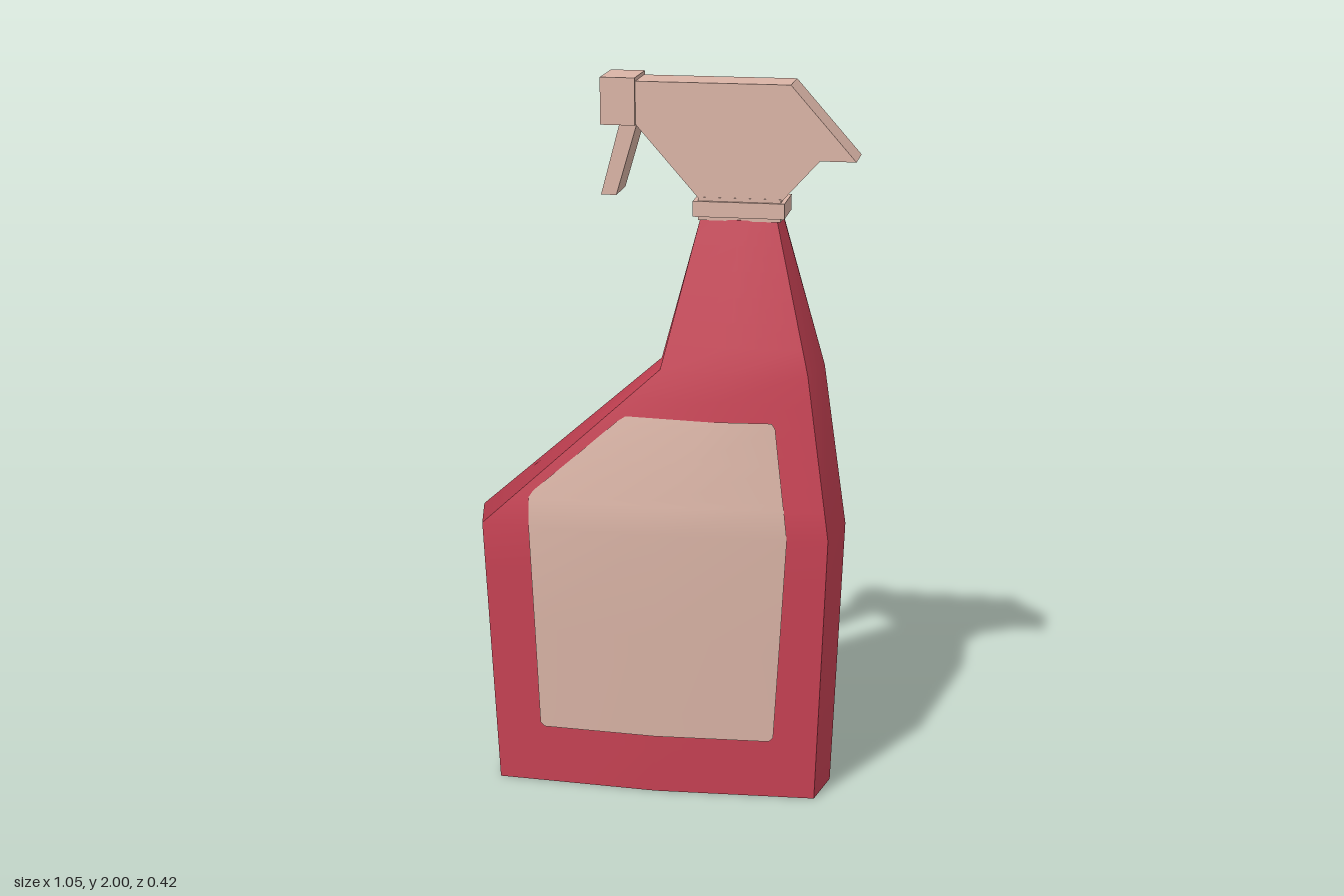
import * as THREE from 'three';

const red = new THREE.MeshStandardMaterial({ color: 0xc84254 });
red.name = 'bottleRed';
const tan = new THREE.MeshStandardMaterial({ color: 0xdab4a6 });
tan.name = 'plasticTan';

// Bottle levels: height, side tips, corner x, mid x, corner z, mid z
const LEVELS = [
  { y: 0, xl: -0.475, xr: 0.475, cl: -0.455, cr: 0.447, xm: 0, zc: 0.145, zm: 0.17 },
  { y: 0.77, xl: -0.525, xr: 0.505, cl: -0.487, cr: 0.477, xm: 0, zc: 0.175, zm: 0.205 },
  { y: 1.22, xl: -0.012, xr: 0.44, cl: 0.007, cr: 0.41, xm: 0.2, zc: 0.134, zm: 0.156 },
  { y: 1.625, xl: 0.1, xr: 0.322, cl: 0.104, cr: 0.312, xm: 0.208, zc: 0.06, zm: 0.068 },
];

// Cross-section at any height
function section(y) {
  let i = 0;
  while (i < LEVELS.length - 2 && y > LEVELS[i + 1].y) i++;
  const a = LEVELS[i], b = LEVELS[i + 1], t = (y - a.y) / (b.y - a.y);
  const s = {};
  for (const k in a) s[k] = a[k] + (b[k] - a[k]) * t;
  return s;
}

// Depth of the front wall at a point
function wallZ(x, s) {
  const edge = x < s.xm ? s.cl : s.cr;
  return s.zm + (s.zc - s.zm) * (x - s.xm) / (edge - s.xm);
}

// Smooth sheet through rows of points, bottom to top
function sheet(rows) {
  const pos = [], index = [], n = rows[0].length;
  rows.forEach((r) => r.forEach((p) => pos.push(...p)));
  for (let j = 0; j < rows.length - 1; j++) {
    for (let i = 0; i < n - 1; i++) {
      const a = j * n + i, d = a + n;
      index.push(a, a + 1, d + 1, a, d + 1, d);
    }
  }
  const g = new THREE.BufferGeometry();
  g.setAttribute('position', new THREE.Float32BufferAttribute(pos, 3));
  g.setIndex(index);
  g.computeVertexNormals();
  return g;
}

// The same row turned to the back
const toBack = (row) => row.map(([x, y, z]) => [x, y, -z]).reverse();

function add(group, name, geometry, material) {
  const m = new THREE.Mesh(geometry, material);
  m.name = name;
  group.add(m);
  return m;
}

function box(group, name, x0, x1, y0, y1, halfZ) {
  const m = add(group, name, new THREE.BoxGeometry(x1 - x0, y1 - y0, halfZ * 2), tan);
  m.position.set((x0 + x1) / 2, (y0 + y1) / 2, 0);
}

// Side profile extruded across the depth
function slab(group, name, points, halfZ) {
  const shape = new THREE.Shape(points.map(([x, y]) => new THREE.Vector2(x, y)));
  const g = new THREE.ExtrudeGeometry(shape, { depth: halfZ * 2, bevelEnabled: false });
  add(group, name, g.translate(0, 0, -halfZ), tan);
}

export function createModel() {
  const model = new THREE.Group();
  model.name = 'sprayBottle';

  // Bottle walls, with sharp edges only at the corners
  const bottle = new THREE.Group();
  bottle.name = 'bottle';
  model.add(bottle);
  const heights = [];
  for (let i = 0; i < 3; i++) {
    for (let k = 0; k < 6; k++) {
      heights.push(LEVELS[i].y + (LEVELS[i + 1].y - LEVELS[i].y) * k / 6);
    }
  }
  heights.push(LEVELS[3].y);
  const front = heights.map(section).map((s) => [
    [s.cl, s.y, s.zc], [s.xm, s.y, s.zm], [s.cr, s.y, s.zc],
  ]);
  add(bottle, 'frontWall', sheet(front), red);
  add(bottle, 'backWall', sheet(front.map(toBack)), red);
  add(bottle, 'leftWall', sheet(LEVELS.map((s) => [
    [s.cr, s.y, s.zc], [s.xr, s.y, 0], [s.cr, s.y, -s.zc],
  ])), red);
  add(bottle, 'rightWall', sheet(LEVELS.map((s) => [
    [s.cl, s.y, -s.zc], [s.xl, s.y, 0], [s.cl, s.y, s.zc],
  ])), red);

  // Base and top
  const endCap = (s, up) => {
    const outline = [[s.xl, 0], [s.cl, s.zc], [s.xm, s.zm], [s.cr, s.zc],
      [s.xr, 0], [s.cr, -s.zc], [s.xm, -s.zm], [s.cl, -s.zc]];
    const shape = new THREE.Shape(outline.map(([x, z]) => new THREE.Vector2(x, z)));
    const g = new THREE.ShapeGeometry(shape);
    return g.rotateX(up ? -Math.PI / 2 : Math.PI / 2).translate(0, s.y, 0);
  };
  add(bottle, 'base', endCap(LEVELS[0], false), red);
  add(bottle, 'neckTop', endCap(LEVELS[3], true), red);

  // Labels following the front and back walls: height, left x, right x
  const labelRows = [
    [0.17, -0.32, 0.32], [0.182, -0.332, 0.332], [0.47, -0.342, 0.349],
    [0.77, -0.353, 0.366], [0.85, -0.355, 0.356], [0.87, -0.342, 0.353],
    [0.97, -0.227, 0.34], [1.075, -0.108, 0.327], [1.09, -0.085, 0.317],
  ];
  const label = labelRows.map(([y, x0, x1]) => {
    const s = section(y);
    return [x0, s.xm, x1].map((x) => [x, y, wallZ(x, s) + 0.004]);
  });
  add(model, 'frontLabel', sheet(label), tan);
  add(model, 'backLabel', sheet(label.map(toBack)), tan);

  // Collar
  box(model, 'collar', 0.085, 0.333, 1.632, 1.674, 0.075);
  box(model, 'collarRim', 0.098, 0.322, 1.622, 1.684, 0.066);

  // Spray head
  slab(model, 'sprayHead', [
    [0.1, 1.68], [0.325, 1.68], [0.425, 1.79], [0.522, 1.79],
    [0.345, 1.99], [-0.072, 1.99], [-0.072, 1.875],
  ], 0.065);
  box(model, 'nozzle', -0.166, -0.072, 1.873, 2, 0.076);
  slab(model, 'trigger', [
    [-0.167, 1.682], [-0.125, 1.682], [-0.07, 1.87], [-0.08, 1.885], [-0.113, 1.885],
  ], 0.064);

  return model;
}
